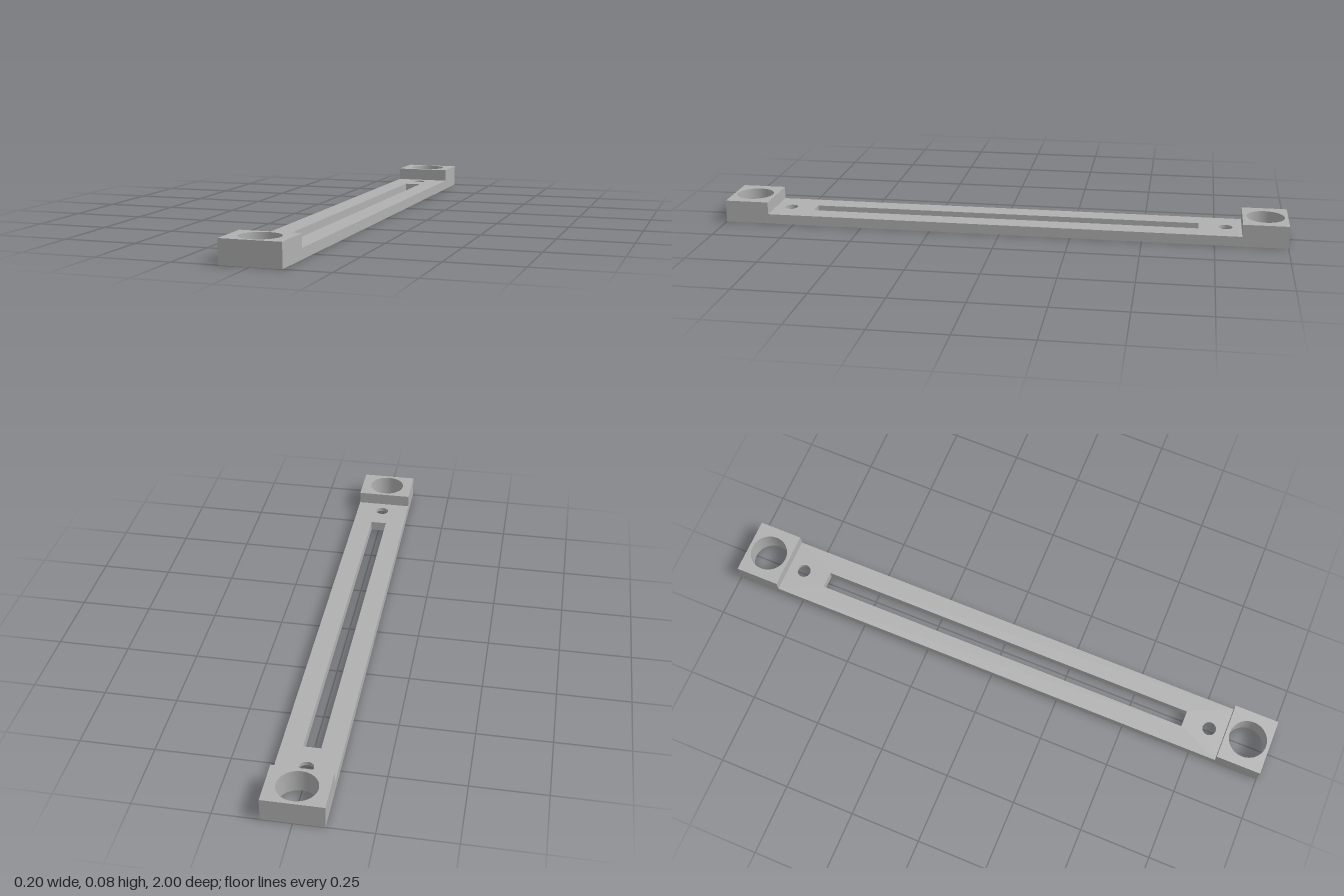
import * as THREE from 'three';

const W = 0.1, L = 1;               // half width and half length
const T = 0.035, H = 0.079;         // bar thickness and end block height
const STEP = 0.843;                 // where the end blocks begin
const BORE = { z: 0.922, r: 0.066 };
const SCREW = { z: 0.787, r: 0.024, sink: 0.046, depth: 0.022 };
const SLOT = { w: 0.029, l: 0.694 };

const rectPoints = (w, z0, z1) =>
  [[-w, z0], [w, z0], [w, z1], [-w, z1]].map(([x, z]) => new THREE.Vector2(x, z));
const circle = (z, r) => new THREE.Path().absarc(0, z, r, 0, Math.PI * 2, true);
const slotHole = () => new THREE.Path(rectPoints(SLOT.w, -SLOT.l, SLOT.l).reverse());

export function createModel() {
  const model = new THREE.Group();
  const grey = new THREE.MeshStandardMaterial({ color: 0xb0b0b0, side: THREE.DoubleSide });

  const add = (name, geometry, x = 0, y = 0, z = 0) => {
    const mesh = new THREE.Mesh(geometry, grey);
    mesh.name = name;
    mesh.position.set(x, y, z);
    model.add(mesh);
    return mesh;
  };

  // Horizontal face with holes, facing up (1) or down (-1)
  const face = (name, points, holes, y, dir) => {
    const shape = new THREE.Shape(points);
    shape.holes.push(...holes);
    add(name, new THREE.ShapeGeometry(shape, 24).rotateX(-dir * Math.PI / 2), 0, y, 0);
  };

  // Upright rectangle turned to face an angle about y
  const wall = (name, width, y0, y1, x, z, angle) =>
    add(name, new THREE.PlaneGeometry(width, y1 - y0).rotateY(angle), x, (y0 + y1) / 2, z);

  // Inward-facing wall of a round hole, from top to bottom
  const holeWall = (name, z, rTop, yTop, rBottom, yBottom) =>
    add(name, new THREE.LatheGeometry(
      [new THREE.Vector2(rTop, yTop), new THREE.Vector2(rBottom, yBottom)], 48), 0, 0, z);

  // Underside and the top of the thin bar
  face('underside', rectPoints(W, -L, L), [
    slotHole(),
    ...[-1, 1].flatMap(s => [circle(s * BORE.z, BORE.r), circle(s * SCREW.z, SCREW.sink)]),
  ], 0, -1);
  face('barTop', rectPoints(W, -STEP, STEP), [
    slotHole(), circle(-SCREW.z, SCREW.r), circle(SCREW.z, SCREW.r),
  ], T, 1);

  // Stepped side silhouette, shared by both long sides
  const side = new THREE.Shape([
    [-L, 0], [L, 0], [L, H], [STEP, H], [STEP, T], [-STEP, T], [-STEP, H], [-L, H],
  ].map(([z, y]) => new THREE.Vector2(z, y)));

  for (const s of [-1, 1]) {
    const out = s > 0 ? 0 : Math.PI;

    add('longSide', new THREE.ShapeGeometry(side).rotateY(s * Math.PI / 2), s * W, 0, 0);

    // Raised end block
    face('blockTop', rectPoints(W, s > 0 ? STEP : -L, s > 0 ? L : -STEP),
      [circle(s * BORE.z, BORE.r)], H, 1);
    wall('blockEnd', 2 * W, 0, H, 0, s * L, out);
    wall('blockStep', 2 * W, T, H, 0, s * STEP, out + Math.PI);
    holeWall('blockBore', s * BORE.z, BORE.r, H, BORE.r, 0);

    // Screw hole, countersunk from below
    holeWall('screwHole', s * SCREW.z, SCREW.r, T, SCREW.r, SCREW.depth);
    holeWall('countersink', s * SCREW.z, SCREW.r, SCREW.depth, SCREW.sink, 0);

    // Slot walls
    wall('slotSide', 2 * SLOT.l, 0, T, s * SLOT.w, 0, -s * Math.PI / 2);
    wall('slotEnd', 2 * SLOT.w, 0, T, 0, s * SLOT.l, out + Math.PI);
  }

  return model;
}
